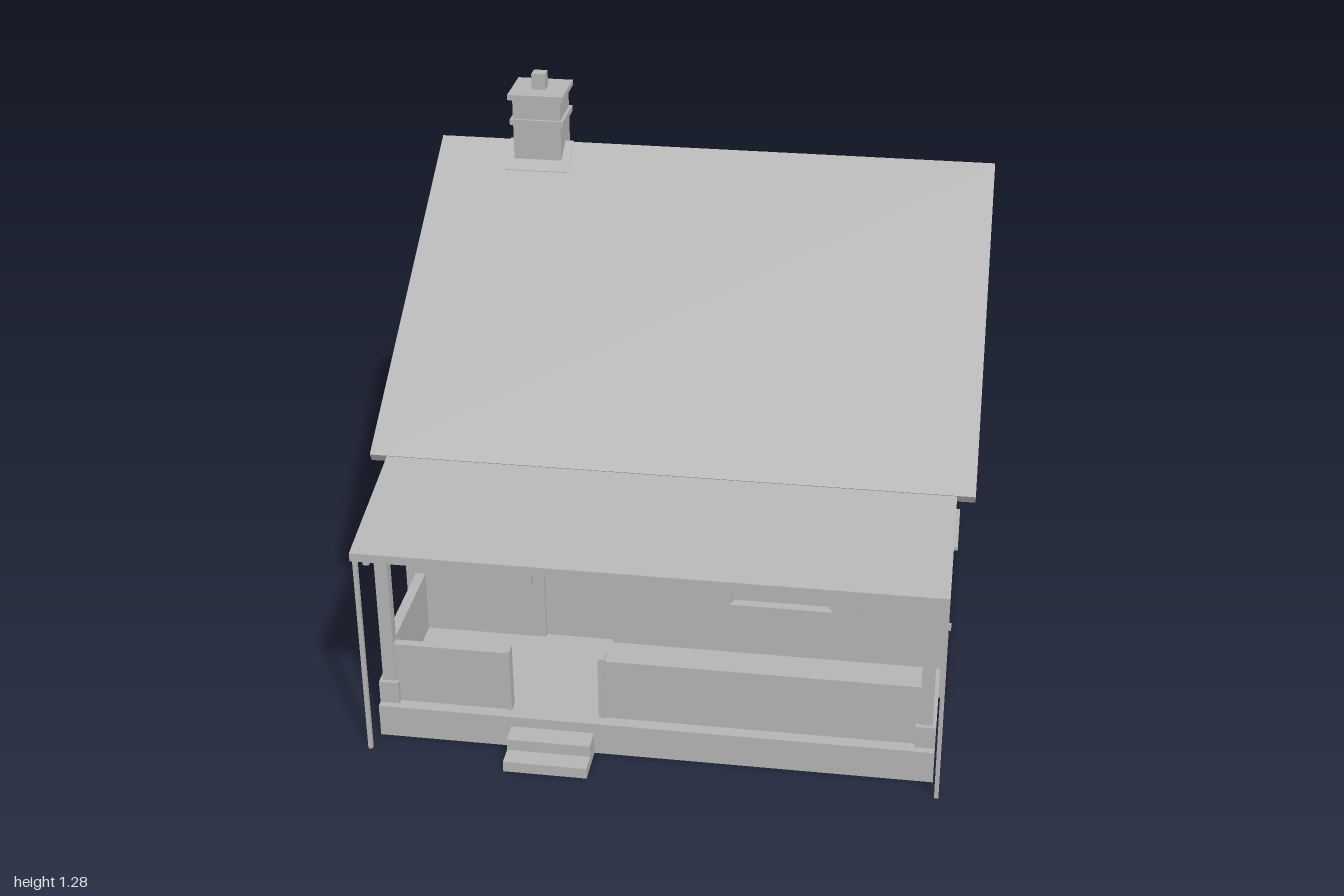
import * as THREE from 'three';

const grey = new THREE.MeshStandardMaterial({ color: 0xb4b4b4, side: THREE.DoubleSide });
grey.name = 'plain grey';

function add(parent, name, geometry) {
  const mesh = new THREE.Mesh(geometry, grey);
  mesh.name = name;
  parent.add(mesh);
  return mesh;
}

// Box given by its limits on each axis
function box(parent, name, x0, x1, y0, y1, z0, z1) {
  const mesh = add(parent, name, new THREE.BoxGeometry(x1 - x0, y1 - y0, z1 - z0));
  mesh.position.set((x0 + x1) / 2, (y0 + y1) / 2, (z0 + z1) / 2);
  return mesh;
}

function shapeOf(points) {
  return new THREE.Shape(points.map(([a, b]) => new THREE.Vector2(a, b)));
}

// Profile in (z, y), extruded from x0 to x1
function alongX(parent, name, points, x0, x1) {
  const geometry = new THREE.ExtrudeGeometry(
    shapeOf(points.map(([z, y]) => [-z, y])), { depth: x1 - x0, bevelEnabled: false });
  geometry.rotateY(Math.PI / 2);
  geometry.translate(x0, 0, 0);
  return add(parent, name, geometry);
}

// Wall with its outer face at local z = 0; openings are [a0, a1, y0, y1, hasSill]
function wall(parent, name, outline, openings) {
  const group = new THREE.Group();
  group.name = name;
  parent.add(group);
  const shape = shapeOf(outline);
  for (const [a0, a1, y0, y1, sill] of openings) {
    shape.holes.push(new THREE.Path([[a0, y0], [a0, y1], [a1, y1], [a1, y0]]
      .map(([a, b]) => new THREE.Vector2(a, b))));
    box(group, 'pane', a0, a1, y0, y1, -0.018, -0.012);
    if (sill) box(group, 'sill', a0 - 0.006, a1 + 0.006, y0 - 0.005, y0 + 0.005, -0.012, 0.012);
  }
  const geometry = new THREE.ExtrudeGeometry(shape, { depth: 0.018, bevelEnabled: false });
  geometry.translate(0, 0, -0.018);
  add(group, name + 'Panel', geometry);
  return group;
}

export function createModel() {
  const house = new THREE.Group();
  house.name = 'house';
  const W = 0.66, FRONT = 0.577, BACK = -0.92, RIDGE = -0.17, EAVE = 0.609;
  const LOW = 0.222, HIGH = 0.484;

  // Gable walls
  const right = wall(house, 'rightGable',
    [[-FRONT, 0], [-BACK, 0], [-BACK, EAVE], [-RIDGE, 1.068], [-FRONT, EAVE]],
    [[-0.246, -0.072, LOW, HIGH, true], [0.38, 0.555, LOW, HIGH, true]]);
  right.rotation.y = Math.PI / 2;
  right.position.x = W;
  const left = wall(house, 'leftGable',
    [[BACK, 0], [FRONT, 0], [FRONT, EAVE], [RIDGE, 1.068], [BACK, EAVE]],
    [[-0.17, 0.006, LOW, HIGH, true], [-0.22, -0.115, 0.64, 0.715, false]]);
  left.rotation.y = -Math.PI / 2;
  left.position.x = -W;

  // Front and back walls
  const w = W - 0.005;
  const plain = [[-w, 0], [w, 0], [w, EAVE], [-w, EAVE]];
  const front = wall(house, 'frontWall', plain,
    [[-0.317, -0.15, 0.083, 0.435, false], [0.145, 0.378, LOW, HIGH, true]]);
  front.position.z = FRONT - 0.002;
  const back = wall(house, 'backWall', plain,
    [[-0.4, -0.225, LOW, HIGH, true], [0.155, 0.33, LOW, HIGH, true]]);
  back.rotation.y = Math.PI;
  back.position.z = BACK + 0.002;

  // Shutters and small fittings
  for (const x of [0.068, 0.385]) box(house, 'shutter', x, x + 0.073, LOW, 0.48, 0.575, 0.584);
  box(house, 'letterBox', -0.115, -0.072, 0.34, 0.405, 0.575, 0.592);
  box(house, 'wallBox', -0.402, -0.345, 0.24, 0.293, 0.575, 0.595);
  box(house, 'meterBox', -0.684, -0.66, 0.222, 0.296, -0.755, -0.655);
  box(house, 'tap', 0.66, 0.668, 0.107, 0.122, 0.435, 0.447);

  // Main roof
  alongX(house, 'roof', [[0.636, 0.602], [RIDGE, 1.094], [-0.998, 0.602], [-0.985, 0.582],
    [RIDGE, 1.066], [0.623, 0.58]], -0.709, 0.705);

  // Chimney with flashing
  alongX(house, 'flashing', [[-0.085, 1.044], [RIDGE, 1.097], [-0.255, 1.044], [-0.255, 1.036],
    [RIDGE, 1.085], [-0.085, 1.036]], -0.53, -0.367);
  box(house, 'chimney', -0.51, -0.388, 1.02, 1.23, -0.227, -0.115);
  box(house, 'chimneyCollar', -0.517, -0.38, 1.155, 1.17, -0.234, -0.108);
  box(house, 'chimneyCap', -0.52, -0.378, 1.223, 1.237, -0.238, -0.104);
  box(house, 'flue', -0.467, -0.432, 1.237, 1.278, -0.187, -0.153);

  // Porch roof with flat soffit and fascia
  alongX(house, 'porchRoof', [[0.962, 0.537], [0.575, 0.612], [0.575, 0.516],
    [0.962, 0.516]], -0.668, 0.663);

  // Porch base, open underneath
  box(house, 'porchDeck', -0.648, 0.648, 0.063, 0.083, 0.575, 0.905);
  box(house, 'porchSkirt', -0.648, 0.648, 0, 0.07, 0.885, 0.904);
  for (const s of [-1, 1]) {
    const side = new THREE.Group();
    side.name = s > 0 ? 'leftPorchSide' : 'rightPorchSide';
    side.position.x = s * 0.625;
    house.add(side);
    const o = s * 0.013;
    box(side, 'sideSkirt', o - 0.009, o + 0.009, 0, 0.07, 0.575, 0.904);
    box(side, 'sideHalfWall', -0.012, 0.012, 0.083, 0.24, 0.575, 0.86);
    // Column
    box(side, 'columnBase', -0.023, 0.023, 0.083, 0.14, 0.843, 0.889);
    box(side, 'columnShaft', -0.015, 0.015, 0.14, 0.495, 0.852, 0.88);
    box(side, 'columnCapital', -0.023, 0.023, 0.493, 0.518, 0.843, 0.889);
    // Front rain pipe
    box(side, 'frontPipe', s * 0.033 - 0.005, s * 0.033 + 0.005, 0, 0.52, 0.95, 0.96);
    // Back rain pipe with elbow
    const p = s * 0.018;
    box(side, 'backPipe', p - 0.007, p + 0.007, 0, 0.536, -0.933, -0.92);
    box(side, 'backPipeElbow', p - 0.007, p + 0.007, 0.523, 0.536, -0.99, -0.92);
    box(side, 'backPipeTop', p - 0.007, p + 0.007, 0.523, 0.596, -0.994, -0.982);
  }

  // Front half walls and their end posts
  box(house, 'halfWall', -0.61, -0.335, 0.083, 0.24, 0.856, 0.876);
  box(house, 'halfWall', -0.125, 0.61, 0.083, 0.24, 0.856, 0.876);
  box(house, 'halfWallPost', -0.345, -0.335, 0.083, 0.246, 0.852, 0.88);
  box(house, 'halfWallPost', -0.129, -0.113, 0.083, 0.246, 0.852, 0.88);

  // Eave brackets
  for (const x of [-0.64, -0.217, 0.215, 0.64])
    box(house, 'porchBracket', x - 0.007, x + 0.007, 0.492, 0.518, 0.903, 0.937);
  for (const x of [-0.64, -0.32, 0, 0.32, 0.64])
    box(house, 'backBracket', x - 0.01, x + 0.01, 0.56, 0.588, -0.978, -0.915);

  // Steps
  box(house, 'upperStep', -0.332, -0.137, 0, 0.056, 0.9, 0.955);
  box(house, 'lowerStep', -0.332, -0.137, 0, 0.027, 0.95, 1.0);

  return house;
}
